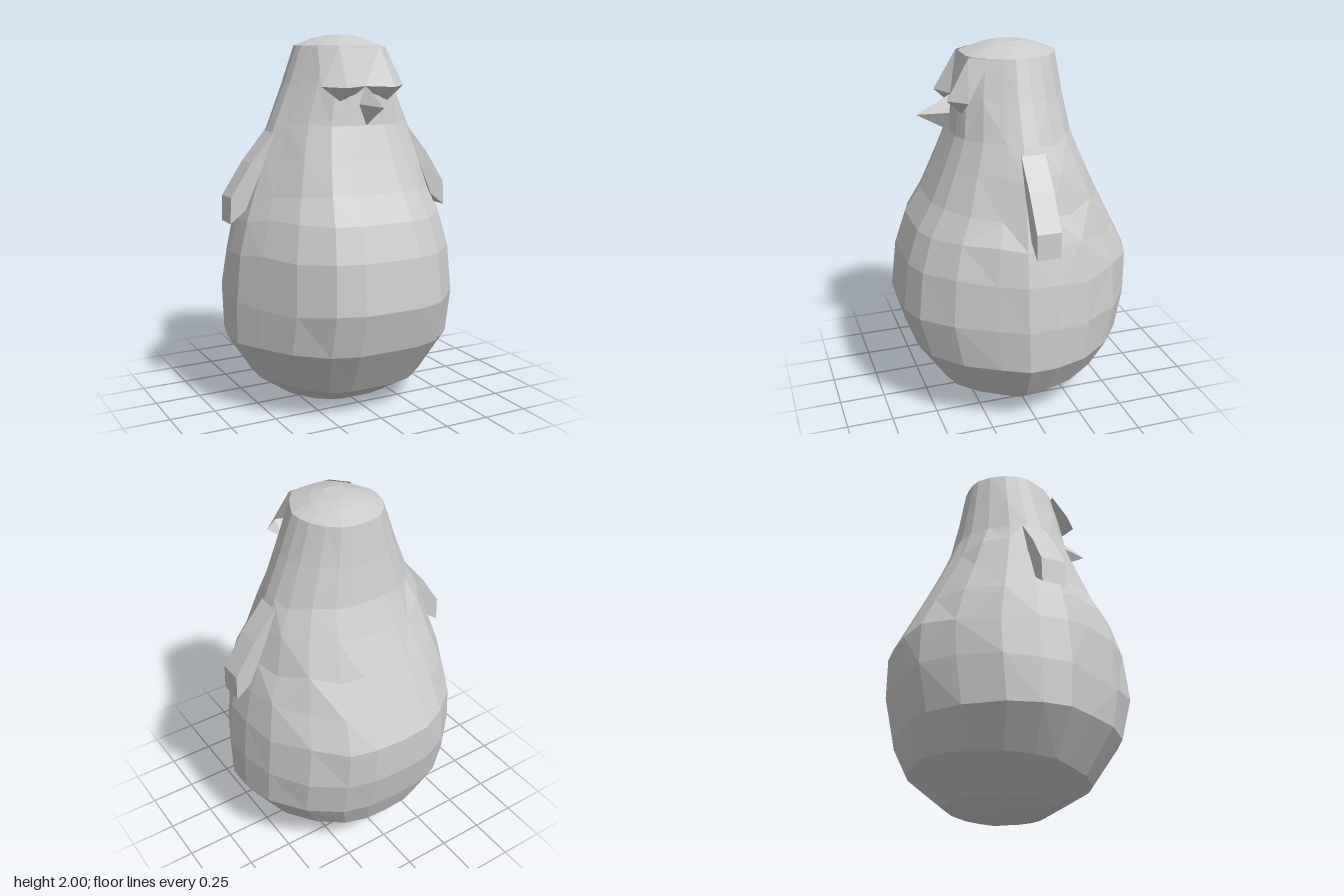
import * as THREE from 'three';

const grey = new THREE.MeshStandardMaterial({ color: 0xcccccc, flatShading: true, side: THREE.DoubleSide });
grey.name = 'plain grey';

// Faceted mesh from points and corner indices
function facets(name, points, index) {
  const g = new THREE.BufferGeometry();
  g.setAttribute('position', new THREE.Float32BufferAttribute(points.flat(), 3));
  g.setIndex(index);
  const flat = g.toNonIndexed();
  flat.computeVertexNormals();
  const mesh = new THREE.Mesh(flat, grey);
  mesh.name = name;
  return mesh;
}

// Half outline of the body seen from above, front to back, mirrored to a full loop
const half = [[0, 1], [0.26, 1], [0.48, 0.92], [0.72, 0.69], [0.89, 0.38], [1, 0.15],
  [1, -0.1], [0.93, -0.39], [0.73, -0.7], [0.48, -0.91], [0.26, -0.985], [0, -1]];
const loop = [...half, ...half.slice(1, -1).reverse().map(([x, z]) => [-x, z])];

// Body rings: height at front, height at back, half width, front depth, back depth
const rings = [
  [0, 0, 0.17, 0.07, 0.07],
  [0.03, 0.05, 0.32, 0.23, 0.31],
  [0.14, 0.22, 0.51, 0.41, 0.51],
  [0.39, 0.4, 0.645, 0.575, 0.585],
  [0.62, 0.63, 0.645, 0.64, 0.635],
  [0.88, 0.85, 0.62, 0.61, 0.635],
  [1.06, 1.02, 0.575, 0.55, 0.55],
  [1.2, 1.2, 0.52, 0.465, 0.46],
  [1.37, 1.38, 0.46, 0.39, 0.375],
  [1.54, 1.54, 0.395, 0.32, 0.31],
  [1.74, 1.74, 0.31, 0.295, 0.27],
  [1.945, 1.945, 0.235, 0.25, 0.238],
  [1.985, 1.985, 0.13, 0.14, 0.13],
  [2, 2, 0.05, 0.08, 0.07],
];

function makeBody() {
  let seed = 7;
  const rand = () => (seed = (seed * 16807) % 2147483647) / 2147483647 - 0.5;
  const n = loop.length, points = [], index = [];
  rings.forEach(([yf, yb, w, f, b], r) => {
    // slight unevenness of the hand-shaped sides and back
    const rough = r > 3 && r < 10 ? 0.05 : 0;
    loop.forEach(([x, z]) => {
      const uneven = z < 0.8 && Math.abs(x) < 0.99 && z > -0.95 ? rough : 0;
      const y = THREE.MathUtils.lerp(yb, yf, (z + 1) / 2) + uneven * rand();
      const k = 1 + 0.5 * uneven * rand();
      points.push([x * w * k, y, z * (z > 0 ? f : b) * k]);
    });
  });
  for (let r = 0; r < rings.length - 1; r++) {
    for (let i = 0; i < n; i++) {
      const a = r * n + i, b = r * n + (i + 1) % n, c = b + n, d = a + n;
      if ((r + i) % 2) index.push(a, b, c, a, c, d);
      else index.push(a, b, d, b, c, d);
    }
  }
  // close the base and the crown
  const top = (rings.length - 1) * n;
  for (let i = 1; i < n - 1; i++) index.push(0, i + 1, i, top, top + i, top + i + 1);
  return facets('body', points, index);
}

// Sloping forehead that ends in two pointed brows over the eyes
function makeBrow() {
  const points = [
    [0.12, 1.942, 0.25], [-0.12, 1.942, 0.25],
    [0.14, 1.735, 0.37], [-0.14, 1.735, 0.37], [0, 1.74, 0.315],
    [0.24, 1.74, 0.285], [-0.24, 1.74, 0.285],
    [0.14, 1.665, 0.295], [-0.14, 1.665, 0.295],
    [0.05, 1.7, 0.3], [-0.05, 1.7, 0.3],
    [0.2, 1.942, 0.16], [-0.2, 1.942, 0.16],
  ];
  return facets('brow', points, [
    1, 4, 0, 0, 4, 2, 1, 3, 4,
    0, 2, 5, 1, 6, 3, 0, 5, 11, 1, 12, 6,
    2, 7, 5, 3, 6, 8,
    4, 9, 2, 9, 7, 2, 4, 3, 10, 10, 3, 8,
  ]);
}

// Four-sided pointed beak
function makeBeak() {
  const points = [[0, 1.64, 0.5], [0, 1.74, 0.31], [-0.05, 1.65, 0.335], [0, 1.54, 0.32], [0.05, 1.65, 0.335]];
  return facets('beak', points, [0, 1, 2, 0, 2, 3, 0, 3, 4, 0, 4, 1]);
}

// Thin flipper hanging out from the shoulder
function makeFlipper(side, name) {
  const outline = [[0.37, 1.46], [0.49, 1.29], [0.575, 1.1], [0.66, 1.035], [0.655, 1.17], [0.54, 1.345], [0.41, 1.5]];
  const shape = new THREE.Shape(outline.map(([x, y]) => new THREE.Vector2(side * x, y)));
  const g = new THREE.ExtrudeGeometry(shape, { depth: 0.128, bevelEnabled: false });
  g.translate(0, 0, -0.062);
  const mesh = new THREE.Mesh(g, grey);
  mesh.name = name;
  return mesh;
}

export function createModel() {
  const model = new THREE.Group();
  model.name = 'penguin';
  model.add(makeBody(), makeBrow(), makeBeak(), makeFlipper(1, 'leftFlipper'), makeFlipper(-1, 'rightFlipper'));
  return model;
}
